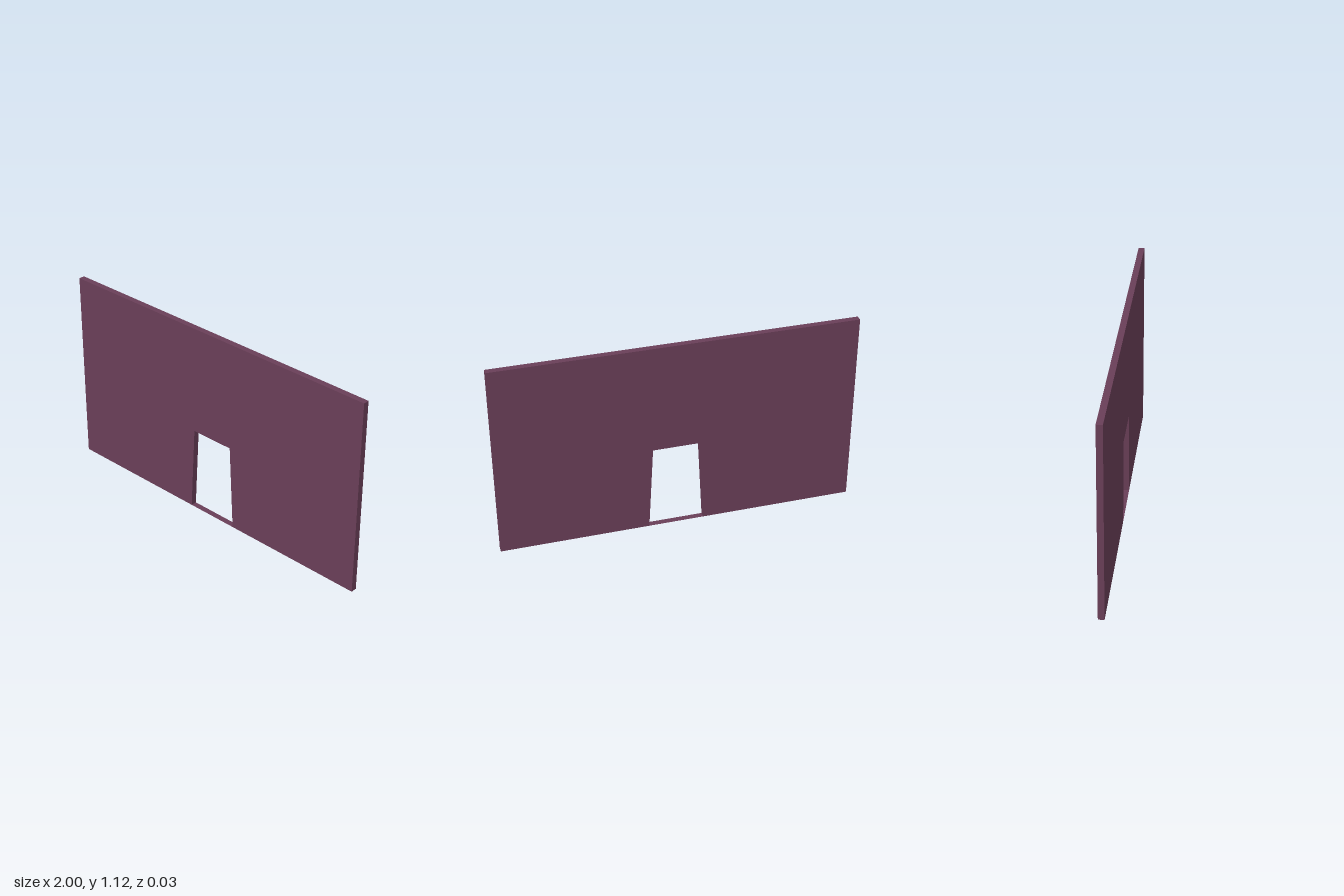
import * as THREE from 'three';

const HEIGHT = 1.125, DEPTH = 0.034;
// Doorway corners, tapering towards the top
const DOOR = { left: -0.144, right: 0.168, topLeft: -0.118, topRight: 0.142, top: 0.5 };

export function createModel() {
  const group = new THREE.Group();
  group.name = 'wallWithDoorway';
  const material = new THREE.MeshStandardMaterial({ color: 0x6a3f58, flatShading: true });

  // Wall slab, its outline notched by the doorway
  const outline = new THREE.Shape([
    [-1, 0], [DOOR.left, 0], [DOOR.topLeft, DOOR.top], [DOOR.topRight, DOOR.top],
    [DOOR.right, 0], [1, 0], [1, HEIGHT], [-1, HEIGHT],
  ].map(([x, y]) => new THREE.Vector2(x, y)));
  const wallGeometry = new THREE.ExtrudeGeometry(outline, { depth: DEPTH, bevelEnabled: false });
  wallGeometry.translate(0, 0, -DEPTH / 2);
  const wall = new THREE.Mesh(wallGeometry, material);
  wall.name = 'wall';
  group.add(wall);

  // Paper-thin threshold closing the foot of the doorway
  const sillMaterial = material.clone();
  sillMaterial.side = THREE.DoubleSide;
  const sill = new THREE.Mesh(
    new THREE.PlaneGeometry(DOOR.right - DOOR.left, DEPTH).rotateX(-Math.PI / 2),
    sillMaterial,
  );
  sill.name = 'threshold';
  sill.position.x = (DOOR.left + DOOR.right) / 2;
  group.add(sill);

  return group;
}
